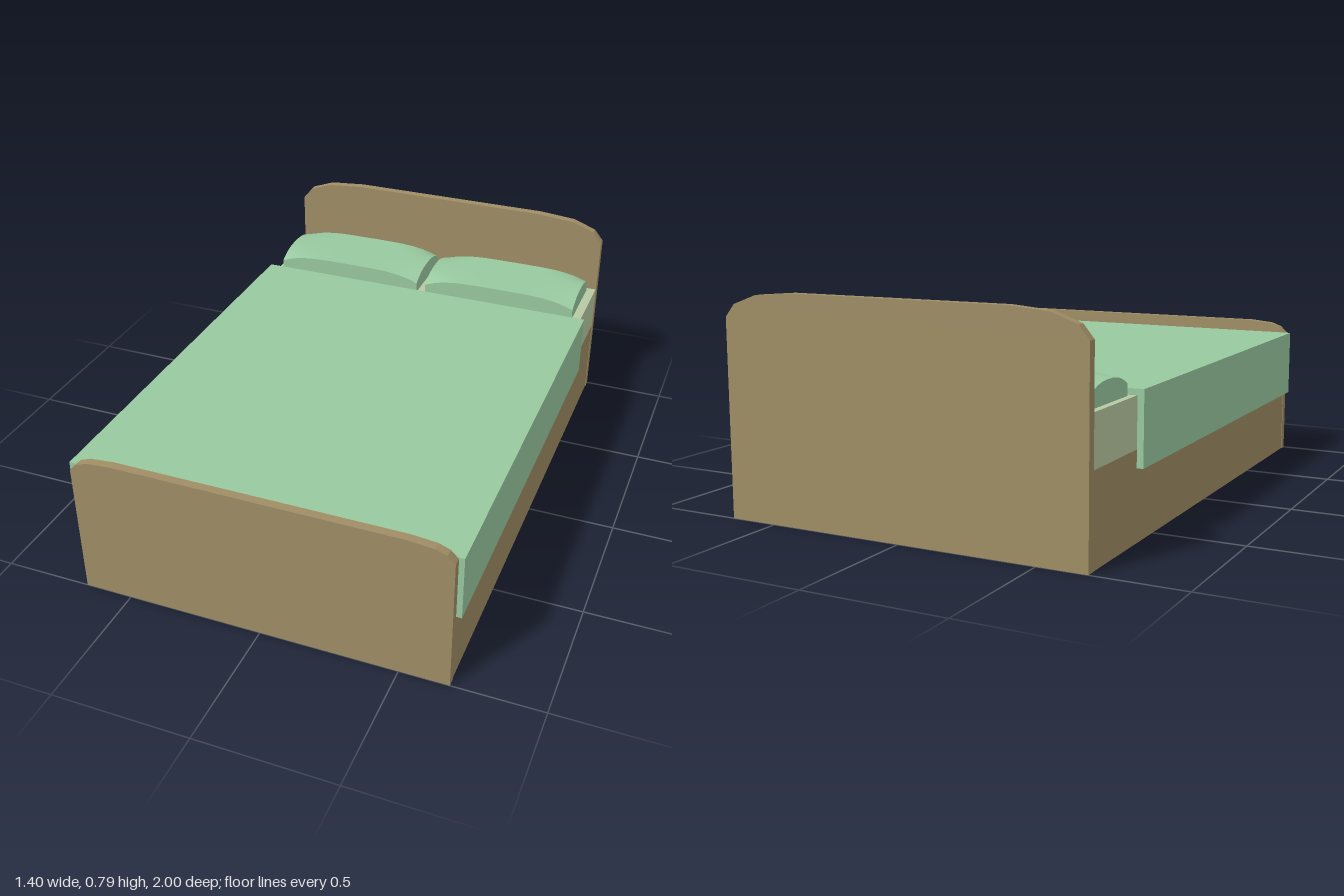
import * as THREE from 'three';

const mat = (color) => new THREE.MeshStandardMaterial({ color });
const wood = mat(0x9f8d65), green = mat(0x98c99f), cream = mat(0xb8c9a2);

function add(group, name, geometry, material) {
  const mesh = new THREE.Mesh(geometry, material);
  mesh.name = name;
  group.add(mesh);
}

// Box given by its lower and upper limits
function box([x0, y0, z0], [x1, y1, z1], ...segments) {
  return new THREE.BoxGeometry(x1 - x0, y1 - y0, z1 - z0, ...segments)
    .translate((x0 + x1) / 2, (y0 + y1) / 2, (z0 + z1) / 2);
}

function extrude(points, z0, z1) {
  const shape = new THREE.Shape(points.map(([x, y]) => new THREE.Vector2(x, y)));
  return new THREE.ExtrudeGeometry(shape, { depth: z1 - z0, bevelEnabled: false }).translate(0, 0, z0);
}

// Mirrored board outline from the right-hand corner points
function board(corner, z0, z1) {
  const half = [[0.677, 0], ...corner];
  return extrude([...half, ...half.map(([x, y]) => [-x, y]).reverse()], z0, z1);
}

// Pillow: a slab whose top sinks towards its four corners
function pillow(x0, x1, z0, z1) {
  const bottom = 0.485, top = 0.56, drop = 0.035;
  const g = box([x0, bottom, z0], [x1, top, z1], 24, 1, 16);
  const p = g.attributes.position;
  for (let i = 0; i < p.count; i++) {
    if (p.getY(i) < top - 0.01) continue;
    const u = Math.abs((2 * p.getX(i) - x0 - x1) / (x1 - x0));
    const v = Math.abs((2 * p.getZ(i) - z0 - z1) / (z1 - z0));
    p.setY(i, top - drop * u ** 4 * v ** 2.5);
  }
  g.computeVertexNormals();
  return g;
}

export function createModel() {
  const bed = new THREE.Group();
  bed.name = 'bed';

  // Wooden frame
  add(bed, 'base', box([-0.675, 0, -0.968], [0.675, 0.31, 0.968]), wood);
  add(bed, 'headboard',
    board([[0.677, 0.7], [0.64, 0.745], [0.55, 0.778], [0.405, 0.79]], -1, -0.967), wood);
  add(bed, 'footboard',
    board([[0.677, 0.503], [0.65, 0.53], [0.61, 0.545], [0.52, 0.553]], 0.968, 1), wood);

  // Bedding
  add(bed, 'mattress', box([-0.675, 0.31, -0.967], [0.675, 0.485, 0.967]), cream);
  add(bed, 'blanket', extrude([
    [-0.7, 0.25], [-0.677, 0.25], [-0.677, 0.485], [0.673, 0.485],
    [0.673, 0.268], [0.696, 0.268], [0.696, 0.507], [-0.7, 0.507],
  ], -0.645, 0.967), green);
  add(bed, 'rightPillow', pillow(-0.652, -0.032, -0.95, -0.668), green);
  add(bed, 'leftPillow', pillow(0.005, 0.64, -0.943, -0.672), green);

  return bed;
}
